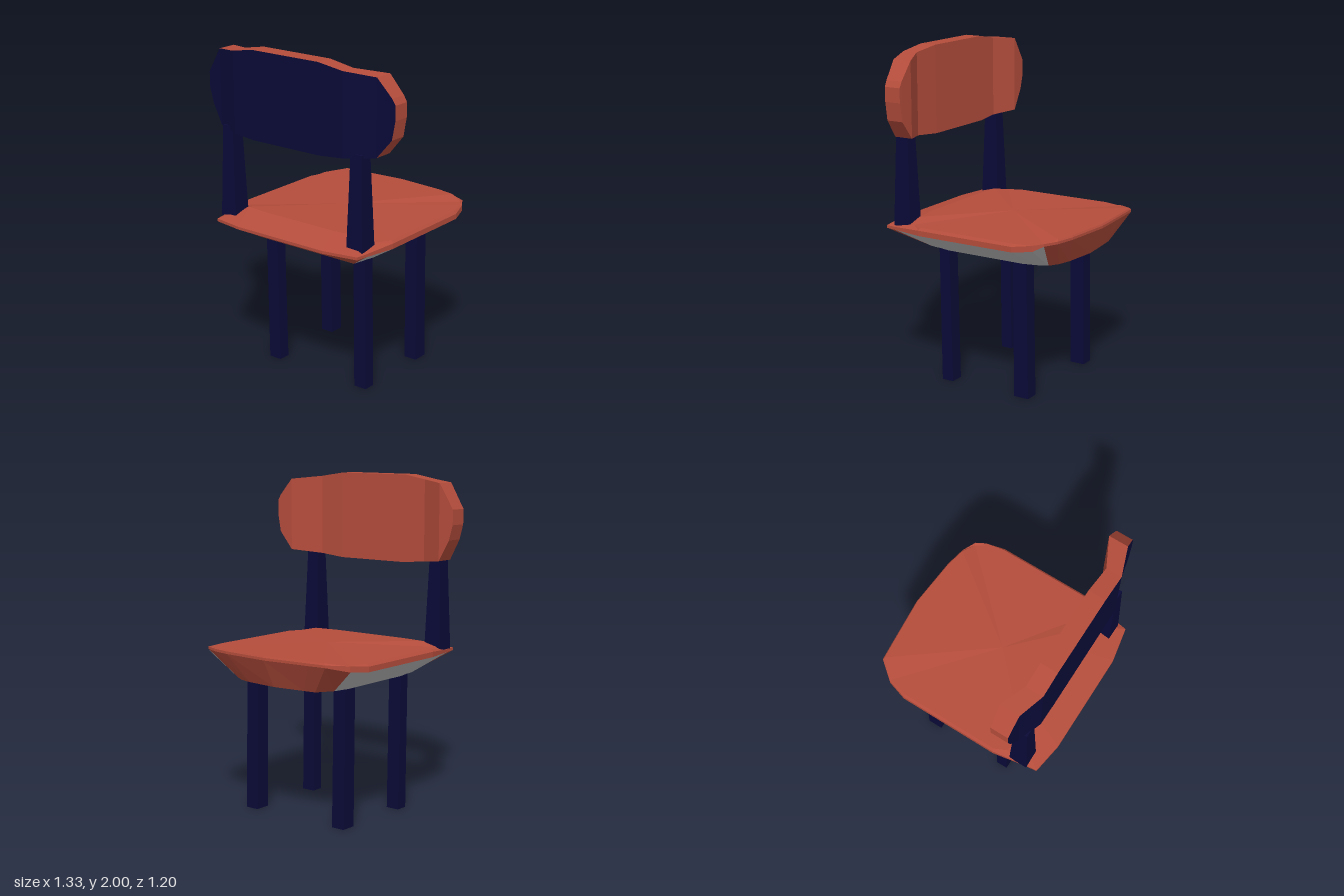
import * as THREE from 'three';

const mat = (name, color) => {
  const m = new THREE.MeshStandardMaterial({ color, flatShading: true });
  m.name = name;
  return m;
};

// Collects quads and triangles into one flat-faced mesh
function facets() {
  const pos = [];
  const tri = (...p) => p.forEach(v => pos.push(...v));
  return {
    tri,
    quad(a, b, c, d) { tri(a, b, c); tri(a, c, d); },
    mesh(name, material) {
      const g = new THREE.BufferGeometry();
      g.setAttribute('position', new THREE.Float32BufferAttribute(pos, 3));
      g.computeVertexNormals();
      const m = new THREE.Mesh(g, material);
      m.name = name;
      return m;
    }
  };
}

// Box whose bottom and top rectangles [x0, x1, z0, z1] differ
function taperedBar(name, material, y0, y1, low, high) {
  const g = new THREE.BoxGeometry(1, 1, 1);
  const p = g.attributes.position;
  for (let i = 0; i < p.count; i++) {
    const top = p.getY(i) > 0, r = top ? high : low;
    p.setXYZ(i, r[p.getX(i) > 0 ? 1 : 0], top ? y1 : y0, r[p.getZ(i) > 0 ? 3 : 2]);
  }
  g.computeVertexNormals();
  const m = new THREE.Mesh(g, material);
  m.name = name;
  return m;
}

// Seat: the outline is swept through four levels
function buildSeat(red, navy, grey) {
  const outline = [
    [-0.45, -0.565], [-0.34, -0.575], [-0.03, -0.6], [0.28, -0.575], [0.4, -0.55],
    [0.485, -0.51], [0.52, -0.455], [0.555, -0.34], [0.555, 0.29], [0.515, 0.49],
    [0.505, 0.555], [0.29, 0.595], [-0.34, 0.595], [-0.53, 0.565], [-0.54, 0.49],
    [-0.575, 0.29], [-0.575, -0.335], [-0.54, -0.455]
  ];
  const bottom = outline.map(([x, z]) =>
    [(x + 0.01) * 0.67 - 0.02, 0.82, z < 0 ? z * 0.86 : Math.min(z * 0.735, 0.36)]);
  const rimLow = outline.map(([x, z]) =>
    [x, z < -0.5 ? 0.985 : z < -0.4 ? 0.955 : 0.943, z]);
  const rimHigh = outline.map(([x, z]) =>
    [x, z < -0.5 ? 1.0 : z < -0.4 ? 0.99 : z > 0.45 ? 0.96 : 0.975, z]);
  const top = outline.map(([x, z]) => [
    x * (z > 0.5 ? 0.8 : 0.975),
    Math.abs(x) < 0.46 || z > 0.5 ? 1.01 : 0.99,
    z > 0.45 ? 0.36 + (z - 0.49) * 0.5 : z * 0.99
  ]);

  const shell = facets(), sides = facets(), base = facets();
  const n = outline.length;
  for (let i = 0; i < n; i++) {
    const j = (i + 1) % n;
    const side = (i >= 5 && i <= 8) || (i >= 14 && i <= 16);
    (side ? sides : shell).quad(bottom[i], rimLow[i], rimLow[j], bottom[j]);
    shell.quad(rimLow[i], rimHigh[i], rimHigh[j], rimLow[j]);
    shell.quad(rimHigh[i], top[i], top[j], rimHigh[j]);
    shell.tri([-0.01, 1.012, 0], top[j], top[i]);
    base.tri([-0.02, 0.82, -0.05], bottom[i], bottom[j]);
  }
  const seat = new THREE.Group();
  seat.name = 'seat';
  seat.add(shell.mesh('seatShell', red), sides.mesh('seatSides', grey), base.mesh('seatBase', navy));
  return seat;
}

// Backrest: stations across x hold [x, low y, high y, inner z, outer z]
function buildBackrest(red, navy) {
  const stations = [
    [-0.665, 1.72, 1.81, 0.34, 0.45], [-0.64, 1.63, 1.85, 0.34, 0.452],
    [-0.57, 1.505, 1.96, 0.34, 0.46], [-0.42, 1.49, 1.975, 0.405, 0.51],
    [-0.28, 1.475, 2, 0.405, 0.51], [0.2, 1.475, 2, 0.405, 0.51],
    [0.37, 1.49, 1.975, 0.415, 0.51], [0.55, 1.51, 1.955, 0.327, 0.445],
    [0.64, 1.62, 1.85, 0.325, 0.43], [0.66, 1.73, 1.815, 0.325, 0.427]
  ].map(([x, lo, hi, zi, zo]) => ({
    ob: [x, lo, zo], ot: [x, hi, zo], ib: [x, lo, zi], it: [x, hi, zi]
  }));
  const outer = facets(), pad = facets();
  for (let i = 0; i + 1 < stations.length; i++) {
    const a = stations[i], b = stations[i + 1];
    outer.quad(a.ob, b.ob, b.ot, a.ot);
    pad.quad(a.it, b.it, b.ib, a.ib);
    pad.quad(a.ot, b.ot, b.it, a.it);
    pad.quad(a.ib, b.ib, b.ob, a.ob);
  }
  const l = stations[0], r = stations[stations.length - 1];
  pad.quad(l.ob, l.ot, l.it, l.ib);
  pad.quad(r.ib, r.it, r.ot, r.ob);
  const backrest = new THREE.Group();
  backrest.name = 'backrest';
  backrest.add(outer.mesh('backrestOuter', navy), pad.mesh('backrestPad', red));
  return backrest;
}

export function createModel() {
  const red = mat('red', 0xb54d3c);
  const navy = mat('navy', 0x0a0a38);
  const grey = mat('grey', 0xbcbcbc);

  const chair = new THREE.Group();
  chair.name = 'chair';
  chair.add(buildSeat(red, navy, grey), buildBackrest(red, navy));

  // Legs and back posts on both sides
  for (const s of [-1, 1]) {
    const label = s > 0 ? 'left' : 'right';
    const x = -0.02 + s * 0.332;
    chair.add(taperedBar(label + 'BackLeg', navy, 0, 0.83,
      [x - 0.042, x + 0.042, 0.2, 0.275], [x - 0.042, x + 0.042, 0.215, 0.285]));
    chair.add(taperedBar(label + 'FrontLeg', navy, 0, 0.83,
      [x - 0.042, x + 0.042, -0.33, -0.235], [x - 0.042, x + 0.042, -0.315, -0.225]));
    const p = -0.025 + s * 0.47;
    chair.add(taperedBar(label + 'BackPost', navy, 0.965, 1.52,
      [p - 0.055, p + 0.055, 0.39, 0.505], [p - 0.037, p + 0.037, 0.41, 0.49]));
  }
  return chair;
}
